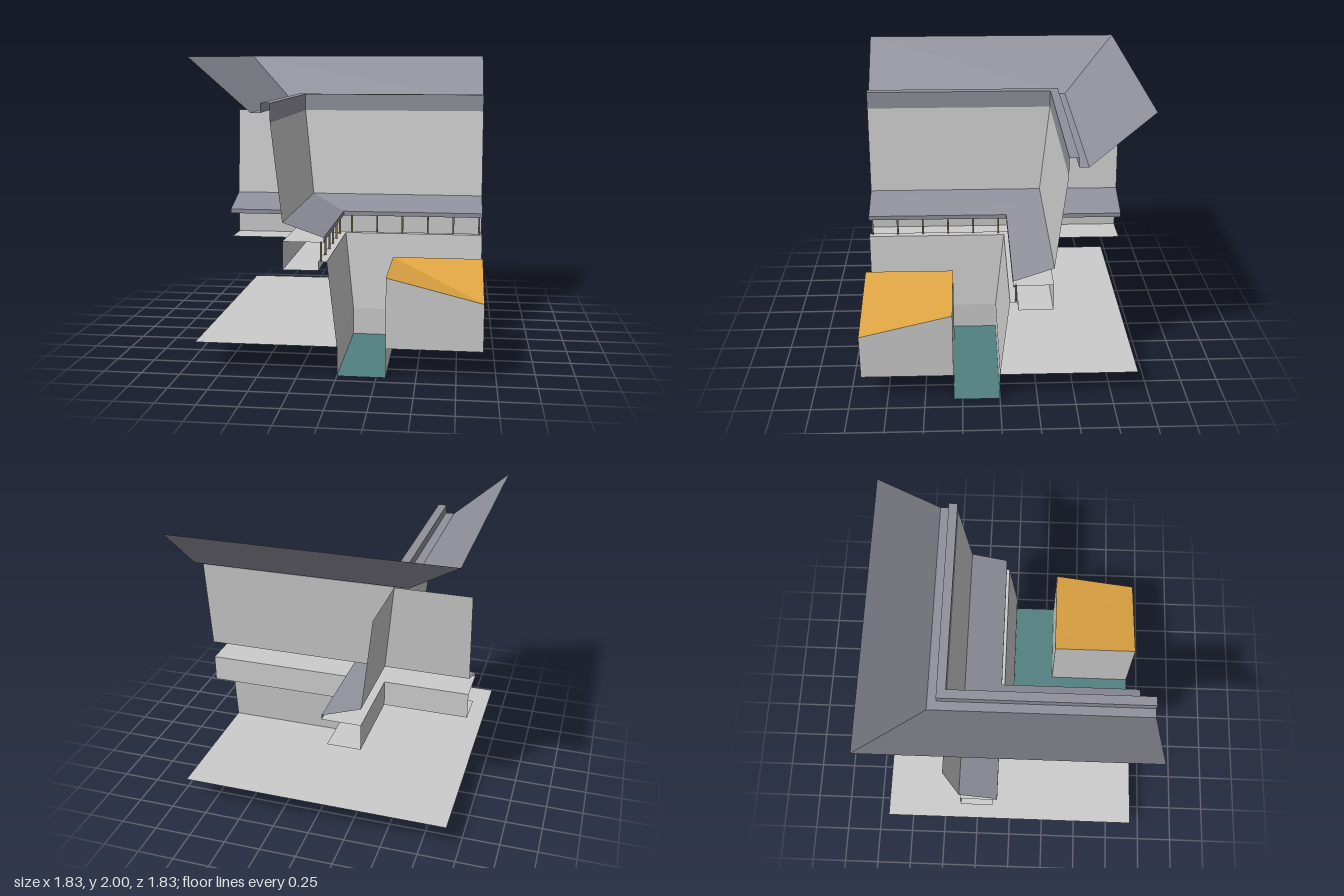
import * as THREE from 'three';

const E = 0.917; // half extent of the corner block
const make = (color) => new THREE.MeshStandardMaterial({ color, side: THREE.DoubleSide, flatShading: true });

const mirror = ([x, y, z]) => [z, y, x];

// Flat-shaded mesh from quads, each given as four corners
function quadMesh(name, quads, material) {
  const pos = [];
  for (const [a, b, c, d] of quads) pos.push(...a, ...b, ...c, ...a, ...c, ...d);
  const geo = new THREE.BufferGeometry();
  geo.setAttribute('position', new THREE.Float32BufferAttribute(pos, 3));
  geo.computeVertexNormals();
  const mesh = new THREE.Mesh(geo, material);
  mesh.name = name;
  return mesh;
}

// Runs a profile of [offset, height] along both arms of the inner corner.
// Without start the arms meet in a mitre; with it both arms begin at start and cross.
function cornerStrip(name, profile, material, start) {
  const quads = [];
  for (let i = 0; i < profile.length - 1; i++) {
    const [d0, y0] = profile[i];
    const [d1, y1] = profile[i + 1];
    const q = [[start ?? d0, y0, d0], [start ?? d1, y1, d1], [E, y1, d1], [E, y0, d0]];
    quads.push(q, q.map(mirror).reverse());
  }
  return quadMesh(name, quads, material);
}

export function createModel() {
  const model = new THREE.Group();
  model.name = 'buildingCorner';
  const grey = make(0xcccccc);
  const slate = make(0x90909c);
  const teal = make(0x528080);
  const orange = make(0xe0a643);
  const brown = make(0x7d6f52);

  // Main roof with its gutter and fascia
  model.add(cornerStrip('mainRoof', [[-E, 2], [-0.53, 1.66]], slate));
  model.add(cornerStrip('gutter',
    [[-0.53, 1.66], [-0.47, 1.66], [-0.47, 1.72], [-0.41, 1.72], [-0.41, 1.6]], slate));

  // Battered upper walls, crossing behind the corner
  model.add(cornerStrip('upperWall', [[-0.41, 1.6], [-0.34, 0.98]], grey, -E));

  // Gallery: lean-to roof, soffit, back wall and floor
  model.add(cornerStrip('galleryRoof', [[-0.34, 0.98], [-0.08, 0.89], [-0.08, 0.86]], slate, -E));
  model.add(cornerStrip('gallerySoffit', [[-0.34, 0.86], [-0.08, 0.86]], grey, -E));
  model.add(cornerStrip('galleryBackWall', [[-0.34, 0.86], [-0.34, 0.68]], grey, -E));
  model.add(cornerStrip('galleryFloor', [[-0.34, 0.68], [-0.115, 0.68]], grey, -E));
  model.add(cornerStrip('galleryLedge', [[-0.115, 0.68], [-0.115, 0.737], [-0.062, 0.737]], grey, -0.115));

  // Slim gallery posts along both arms
  const posts = new THREE.Group();
  posts.name = 'galleryPosts';
  const postGeo = new THREE.BoxGeometry(0.012, 0.123, 0.012);
  for (let i = 0; i < 6; i++) {
    const t = -0.022 + i * 0.1835;
    for (const [x, z] of [[t, -0.1], [-0.1, t]]) {
      const post = new THREE.Mesh(postGeo, brown);
      post.name = 'post';
      post.position.set(x, 0.7985, z);
      posts.add(post);
    }
  }
  model.add(posts);

  // Battered lower wall, terrace, kerb and sunken channel
  model.add(cornerStrip('lowerWall', [[-0.062, 0.737], [0, 0.19]], grey, -0.062));
  model.add(cornerStrip('terrace', [[-E, 0.19], [0, 0.19]], grey));
  model.add(cornerStrip('kerb', [[0, 0.19], [0, 0]], grey));
  model.add(cornerStrip('channelFloor', [[0, 0], [0.308, 0]], teal));

  // Corner block: inner walls, outer walls and underside
  const B = 0.308, top = 0.645, low = 0.495, base = 0.19;
  model.add(cornerStrip('blockInnerWall', [[B, 0], [B, top]], grey));
  const outer = [[B, base, E], [E, base, E], [E, low, E], [B, top, E]];
  const under = [[B, base, B], [E, base, B], [E, base, E], [B, base, E]];
  model.add(quadMesh('blockOuterWalls', [outer, outer.map(mirror).reverse(), under], grey));

  // Block roof: two slopes folding down along the diagonal
  const slope = [[B, top, B], [E, low, E], [E, top, B], [B, top, B]];
  model.add(quadMesh('blockRoof', [slope, slope.map(mirror).reverse()], orange));

  return model;
}
